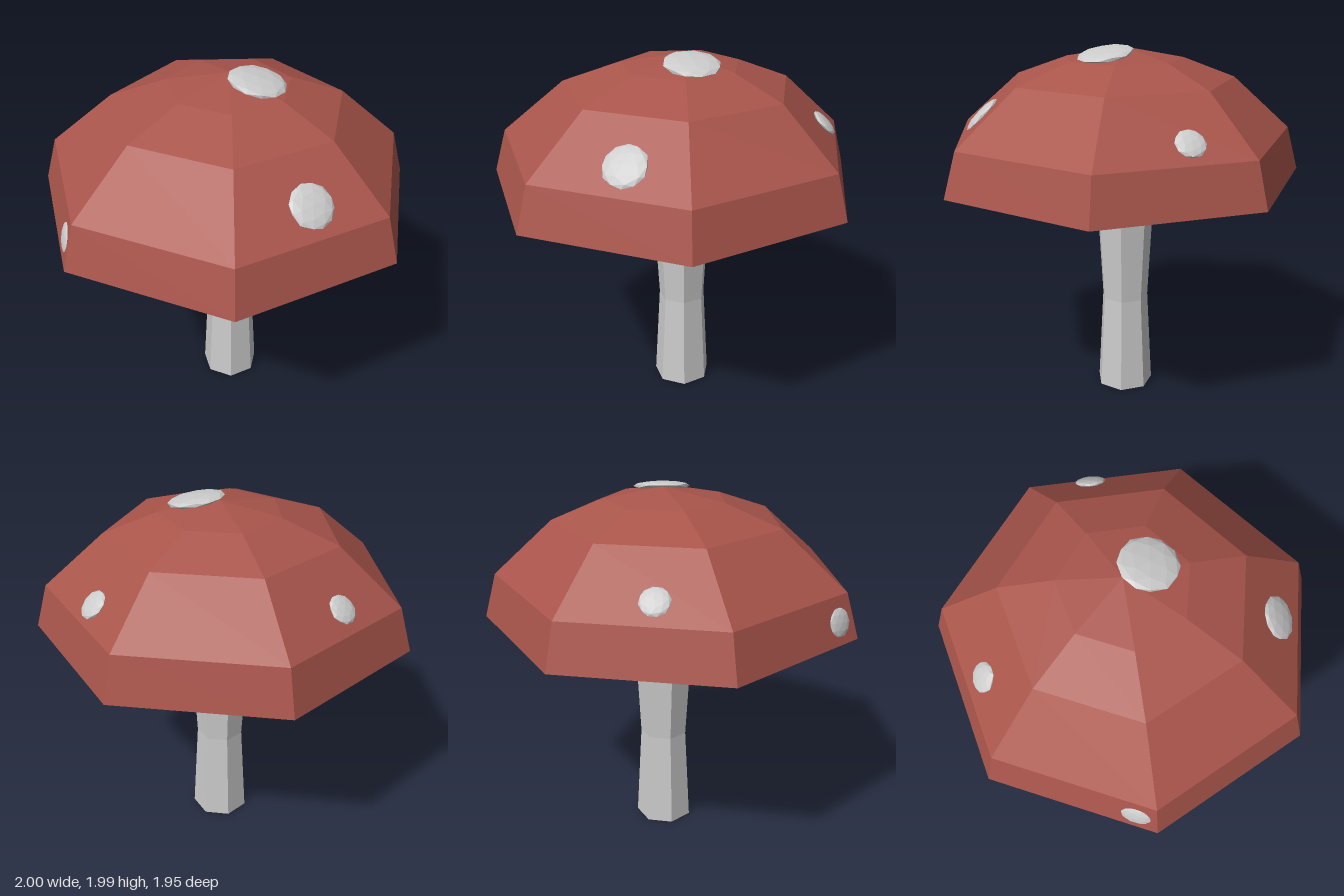
import * as THREE from 'three';

const SIDES = 7;
const grey = new THREE.MeshStandardMaterial({ color: 0xcccccc, flatShading: true });
const red = new THREE.MeshStandardMaterial({ color: 0xa9554b, flatShading: true });

// Seven-sided turned shape with a corner at the back, each ring centred front to back
function turned(name, profile, material) {
  const points = profile.map(([r, y]) => new THREE.Vector2(r, y));
  const geometry = new THREE.LatheGeometry(points, SIDES, Math.PI);
  const pos = geometry.attributes.position;
  for (let i = 0; i < pos.count; i++) {
    const r = Math.hypot(pos.getX(i), pos.getZ(i));
    pos.setZ(i, pos.getZ(i) + 0.0495 * r);
  }
  const mesh = new THREE.Mesh(geometry, material);
  mesh.name = name;
  return mesh;
}

// Flattened faceted ball lying on the cap, facing along the normal
function spot(name, center, radius, thickness, normal) {
  const geometry = new THREE.IcosahedronGeometry(1, 1);
  geometry.scale(radius, thickness, radius);
  const mesh = new THREE.Mesh(geometry, grey);
  mesh.name = name;
  mesh.position.set(...center);
  mesh.quaternion.setFromUnitVectors(
    new THREE.Vector3(0, 1, 0),
    new THREE.Vector3(...normal).normalize()
  );
  return mesh;
}

export function createModel() {
  const group = new THREE.Group();
  group.name = 'mushroom';

  // Stem, pinched in the middle and flaring into the cap
  group.add(turned('stem', [
    [0, 0], [0.163, 0], [0.134, 0.55], [0.166, 1.13], [0.182, 1.28], [0.195, 1.46], [0, 1.46],
  ], grey));

  // Cap dome and its shallow hollow underside
  group.add(turned('cap', [
    [1.025, 1.28], [0.955, 1.52], [0.622, 1.81], [0.328, 1.92], [0, 1.98],
  ], red));
  group.add(turned('capUnderside', [[0, 1.45], [1.025, 1.28]], grey));

  // Spots
  group.add(
    spot('topSpot', [0.145, 1.955, 0], 0.152, 0.028, [0.2, 1, 0]),
    spot('leftFrontSpot', [0.61, 1.632, 0.475], 0.115, 0.024, [0.546, 0.717, 0.436]),
    spot('backSpot', [0.265, 1.612, -0.705], 0.08, 0.02, [0.304, 0.717, -0.63]),
    spot('rightSpot', [-0.76, 1.61, -0.078], 0.078, 0.02, [-0.68, 0.717, -0.155]),
    spot('rightFrontSpot', [-0.495, 1.39, 0.855], 0.08, 0.02, [-0.755, 0.254, 0.603])
  );
  return group;
}
